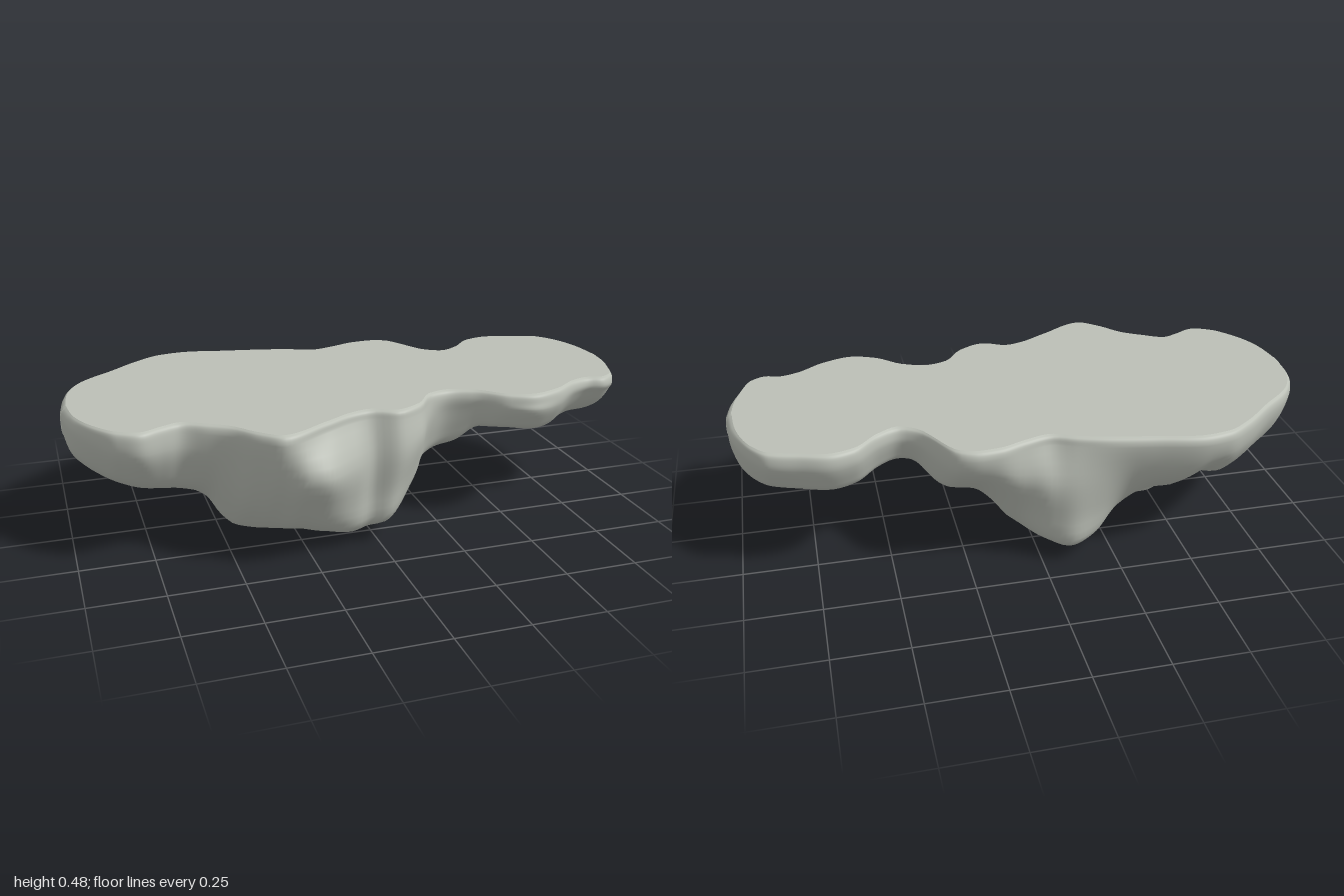
import * as THREE from 'three';

const TOP = 0.483, STEPS = 180, AROUND = 56;

// Rim outline seen from above: x, z
const backRim = [[-1, 0], [-0.99, -0.1], [-0.97, -0.165], [-0.9, -0.27], [-0.8, -0.355], [-0.68, -0.46], [-0.6, -0.507],
  [-0.51, -0.52], [-0.35, -0.49], [-0.2, -0.46], [-0.1, -0.43], [-0.02, -0.4], [0.06, -0.42], [0.15, -0.452],
  [0.22, -0.458], [0.28, -0.44], [0.39, -0.27], [0.45, -0.24], [0.52, -0.275], [0.6, -0.35], [0.68, -0.37],
  [0.78, -0.345], [0.87, -0.318], [0.92, -0.265], [0.97, -0.17], [0.99, -0.1], [1, 0]];
const frontRim = [[-1, 0], [-0.99, 0.08], [-0.97, 0.145], [-0.9, 0.26], [-0.85, 0.315], [-0.78, 0.345], [-0.7, 0.31],
  [-0.65, 0.292], [-0.57, 0.33], [-0.5, 0.375], [-0.43, 0.455], [-0.36, 0.505], [-0.2, 0.425], [-0.1, 0.37], [-0.04, 0.355],
  [0.05, 0.39], [0.14, 0.35], [0.21, 0.265], [0.28, 0.245], [0.37, 0.275], [0.46, 0.35], [0.55, 0.38], [0.65, 0.35],
  [0.75, 0.285], [0.81, 0.268], [0.86, 0.28], [0.91, 0.255], [0.96, 0.155], [0.99, 0.075], [1, 0]];
// Lowest line of the underside: x, y
const keel = [[-1, 0.37], [-0.985, 0.325], [-0.95, 0.3], [-0.85, 0.25], [-0.73, 0.212], [-0.6, 0.18], [-0.55, 0.145],
  [-0.5, 0.065], [-0.46, 0.03], [-0.4, 0.022], [-0.28, 0.037], [-0.2, 0.02], [-0.08, 0], [0, 0.02], [0.08, 0.06],
  [0.14, 0.14], [0.2, 0.2], [0.26, 0.228], [0.33, 0.25], [0.41, 0.32], [0.48, 0.325], [0.68, 0.3], [0.9, 0.312],
  [0.96, 0.33], [1, 0.39]];
// Upper flank widths relative to the rim: x, ratio
const backFlank = [[-1, 0.96], [-0.65, 0.97], [-0.45, 0.92], [-0.3, 0.93], [-0.1, 1.05], [-0.02, 1.1], [0.06, 1.02],
  [0.2, 0.96], [0.4, 0.99], [1, 0.99]];
const frontFlank = [[-1, 0.97], [-0.65, 0.99], [-0.47, 0.9], [-0.37, 0.93], [-0.29, 1.08], [-0.2, 1.2], [-0.1, 1.15],
  [-0.02, 1.05], [0.13, 1.05], [0.28, 0.95], [0.55, 1.01], [0.87, 0.93], [1, 0.95]];
// Foot widths relative to the flank: x, ratio
const backFoot = [[-1, 0.74], [-0.65, 0.7], [-0.5, 0.38], [-0.42, 0.32], [-0.3, 0.6], [-0.18, 0.88], [-0.1, 0.95],
  [-0.02, 0.87], [0.1, 0.65], [0.2, 0.63], [0.35, 0.76], [0.6, 0.85], [1, 0.8]];
const frontFoot = [[-1, 0.68], [-0.65, 0.7], [-0.55, 0.62], [-0.42, 0.58], [-0.3, 0.67], [-0.2, 0.72], [-0.1, 0.86],
  [0, 0.94], [0.1, 0.8], [0.2, 0.78], [0.35, 0.82], [0.55, 0.83], [0.87, 0.62], [1, 0.62]];

// Smooth curve through [x, value] pairs
function sample(table, x) {
  let i = 0;
  while (i < table.length - 2 && x > table[i + 1][0]) i++;
  const slope = (k) => (table[k + 1][1] - table[k][1]) / (table[k + 1][0] - table[k][0]);
  const tangent = (k) => {
    if (k === 0) return slope(0);
    if (k === table.length - 1) return slope(k - 1);
    const a = slope(k - 1), b = slope(k);
    return a * b <= 0 ? 0 : 2 * a * b / (a + b);
  };
  const [x0, v0] = table[i], [x1, v1] = table[i + 1];
  const w = x1 - x0, t = (x - x0) / w, t2 = t * t, t3 = t2 * t;
  return v0 * (2 * t3 - 3 * t2 + 1) + v1 * (3 * t2 - 2 * t3)
    + w * (tangent(i) * (t3 - 2 * t2 + t) + tangent(i + 1) * (t3 - t2));
}

// Cross-section at x, from the front rim, under the keel, up to the back rim
function crossSection(x) {
  // The tips reuse the section just inside them, pinched to a line
  const s = THREE.MathUtils.clamp(x, -0.9985, 0.9985);
  const pinch = Math.abs(x) > 0.9999 ? 0 : 1;
  const y = sample(keel, s), h = TOP - y;
  const side = (rim, flank, foot) => {
    const z = sample(rim, s), m = z * sample(flank, s), f = m * sample(foot, s);
    const inset = Math.sign(z) * Math.min(0.02, Math.abs(z) * 0.3);
    return [
      [z - inset, TOP], [z - inset * 0.3, TOP - 0.008], [z, TOP - 0.032],
      [m, TOP - h * 0.33], [m * 0.55 + f * 0.45, y + h * 0.38], [f, y + h * 0.15], [f * 0.72, y + h * 0.04],
    ];
  };
  const front = side(frontRim, frontFlank, frontFoot);
  const back = side(backRim, backFlank, backFoot).reverse();
  const mid = (front[6][0] + back[0][0]) / 2;
  const points = [...front, [mid, y], ...back].map(([z, py]) => new THREE.Vector3(x, py, z));
  const curve = new THREE.CatmullRomCurve3(points, false, 'centripetal');
  const endness = Math.max(0, (Math.abs(x) - 0.9) / 0.1) ** 2;
  return Array.from({ length: AROUND + 1 }, (_, j) => {
    const p = curve.getPoint(j / AROUND);
    p.y = Math.min(TOP, Math.max(0, p.y));
    p.z *= pinch;
    // Round the upper and lower edges of the two ends
    const v = (p.y - y) / h * 2 - 1;
    p.x -= Math.sign(x) * 0.022 * endness * v ** 4;
    return p;
  });
}

// Skin over equal-length rows of points
function loft(rows) {
  const n = rows[0].length, index = [];
  for (let i = 0; i < rows.length - 1; i++) {
    for (let j = 0; j < n - 1; j++) {
      const a = i * n + j, b = a + 1, c = a + n, d = c + 1;
      index.push(a, b, c, b, d, c);
    }
  }
  const geometry = new THREE.BufferGeometry().setFromPoints(rows.flat());
  geometry.setIndex(index);
  geometry.computeVertexNormals();
  return geometry;
}

export function createModel() {
  const stone = new THREE.MeshStandardMaterial({ color: 0xbbbfb6 });
  stone.name = 'greyStone';
  const group = new THREE.Group();
  group.name = 'rockLedge';

  // Sections sit closer together towards the rounded ends
  const rows = Array.from({ length: STEPS + 1 }, (_, i) =>
    crossSection(Math.sin((i / STEPS - 0.5) * Math.PI)));

  // Weathered flanks and underside
  const underside = new THREE.Mesh(loft(rows), stone);
  underside.name = 'rockUnderside';

  // Level top surface, back rim to front rim
  const topRows = rows.map((r) => [r[AROUND].clone(), r[0].clone()]);
  const top = new THREE.Mesh(loft(topRows), stone);
  top.name = 'flatTop';

  group.add(underside, top);
  return group;
}
